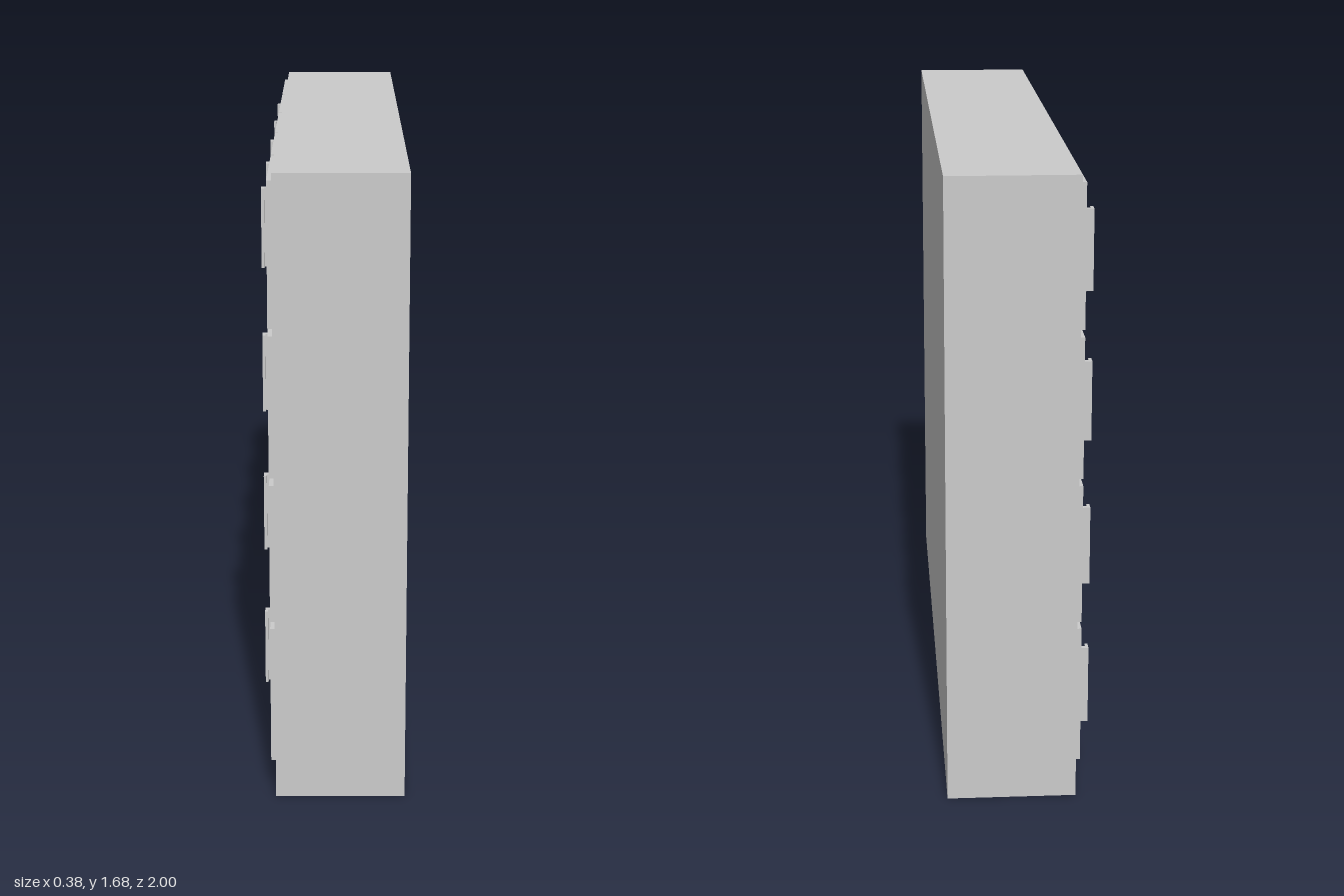
import * as THREE from 'three';

const COLS = 5, ROWS = 4;
const WIDTH = 2, HEIGHT = 1.68;
const BACK = -0.19, FACE = 0.153, DOOR_FACE = 0.166, OUTER = 0.19;
const KICK_DEPTH = 0.04;

export function createModel() {
  const root = new THREE.Group();
  root.name = 'lockerCabinet';
  const material = new THREE.MeshStandardMaterial({ color: 0xcccccc });

  // Built facing +z, then turned so that the doors face -x
  const cabinet = new THREE.Group();
  cabinet.name = 'cabinet';
  cabinet.rotation.y = -Math.PI / 2;
  root.add(cabinet);

  const add = (parent, name, geometry, x, y, z) => {
    const mesh = new THREE.Mesh(geometry, material);
    mesh.name = name;
    mesh.position.set(x, y, z);
    parent.add(mesh);
    return mesh;
  };
  const rectangle = (Type, x0, y0, x1, y1) => new Type([
    new THREE.Vector2(x0, y0), new THREE.Vector2(x1, y0),
    new THREE.Vector2(x1, y1), new THREE.Vector2(x0, y1),
  ]);

  // Carcass: a solid block and a front slab with a long kick recess at the bottom
  const blockDepth = FACE - KICK_DEPTH - BACK;
  add(cabinet, 'body', new THREE.BoxGeometry(WIDTH, HEIGHT, blockDepth), 0, HEIGHT / 2, BACK + blockDepth / 2);
  const front = rectangle(THREE.Shape, -WIDTH / 2, 0, WIDTH / 2, HEIGHT);
  front.holes.push(rectangle(THREE.Path, -0.975, 0.022, 0.975, 0.08));
  add(cabinet, 'frontFrame', new THREE.ExtrudeGeometry(front, { depth: KICK_DEPTH, bevelEnabled: false }),
    0, 0, FACE - KICK_DEPTH);

  // Door panel and L-section pull handle
  const doorW = 0.38, doorH = 0.376, doorT = DOOR_FACE - FACE;
  const doorGeometry = new THREE.BoxGeometry(doorW, doorH, doorT);
  const reach = OUTER - DOOR_FACE, handleH = 0.212;
  const section = new THREE.Shape([
    [0, 0], [0.014, 0], [0.014, -(reach - 0.008)], [0.03, -(reach - 0.008)], [0.03, -reach], [0, -reach],
  ].map(([x, y]) => new THREE.Vector2(x, y)).reverse());
  const handleGeometry = new THREE.ExtrudeGeometry(section, { depth: handleH, bevelEnabled: false });
  handleGeometry.rotateX(-Math.PI / 2);

  // Grid of lockers
  for (let row = 0; row < ROWS; row++) {
    for (let col = 0; col < COLS; col++) {
      const locker = new THREE.Group();
      locker.name = `locker_${row + 1}_${col + 1}`;
      locker.position.set((col - (COLS - 1) / 2) * 0.394, 0.095 + row * 0.3955, 0);
      add(locker, 'door', doorGeometry, 0, doorH / 2, FACE + doorT / 2);
      add(locker, 'handle', handleGeometry, -0.145, 0.089, DOOR_FACE);
      cabinet.add(locker);
    }
  }
  return root;
}
